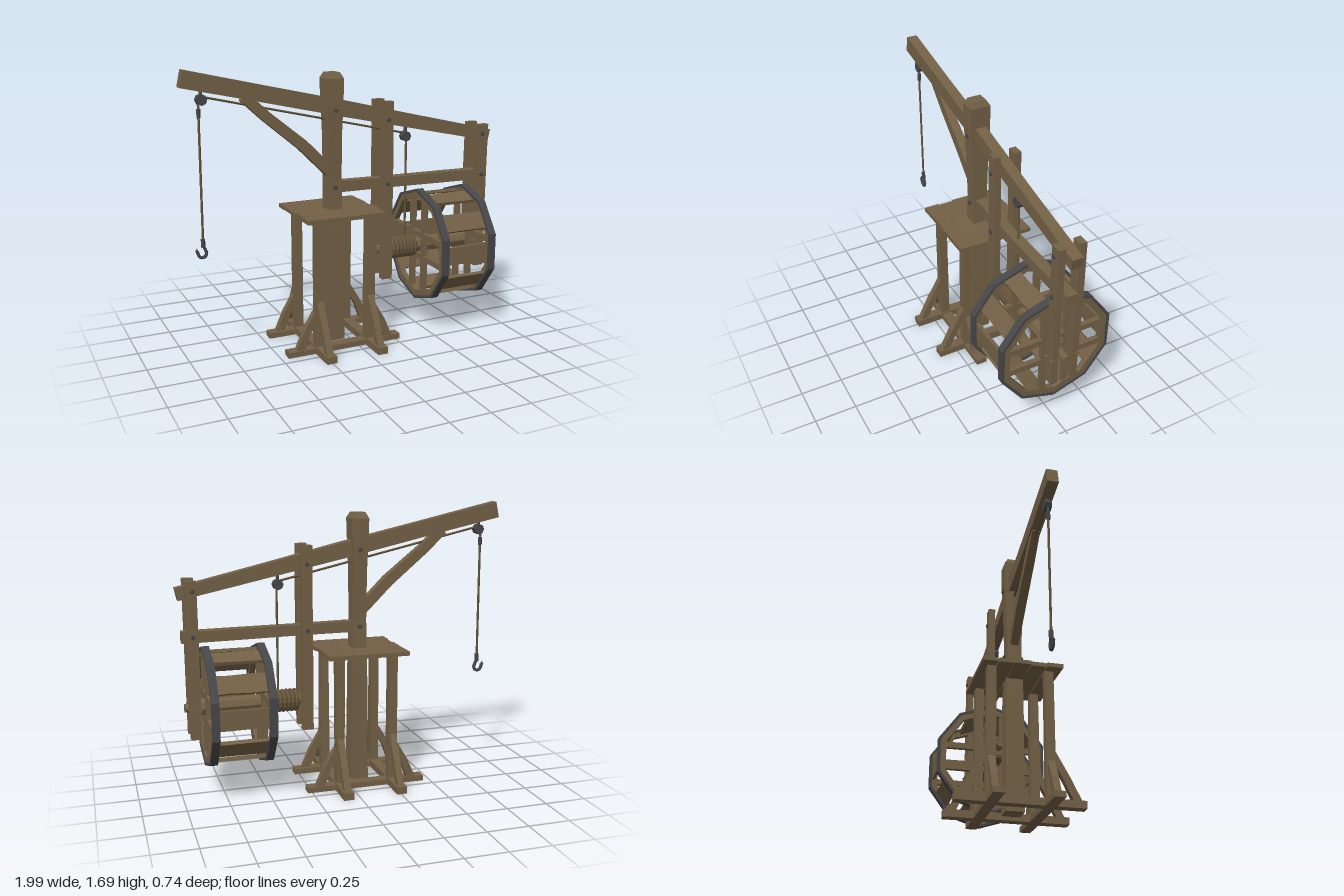
import * as THREE from 'three';

const V = (x, y, z) => new THREE.Vector3(x, y, z);
const X = V(1, 0, 0), Z = V(0, 0, 1);

export function createModel() {
  const group = new THREE.Group();
  const wood = new THREE.MeshStandardMaterial({ color: 0x736146 });
  wood.name = 'wood';
  const iron = new THREE.MeshStandardMaterial({ color: 0x47474a });
  iron.name = 'iron';
  const hemp = new THREE.MeshStandardMaterial({ color: 0x65543a });
  hemp.name = 'hemp';

  let seed = 7;
  const rand = () => ((seed = (seed * 16807) % 2147483647) / 2147483647) - 0.5;

  // Faceted mesh
  function add(name, geo, mat, parent = group) {
    const g = geo.index ? geo.toNonIndexed() : geo;
    g.computeVertexNormals();
    const m = new THREE.Mesh(g, mat);
    m.name = name;
    parent.add(m);
    return m;
  }

  // Hewn timber: sections are [centre, size along side, size across]
  function loft(name, sections, side, parent = group) {
    const pos = [], idx = [], n = sections.length;
    sections.forEach(([c, w, h], i) => {
      const d = sections[Math.min(i + 1, n - 1)][0].clone().sub(sections[Math.max(i - 1, 0)][0]).normalize();
      const u = d.clone().cross(side).normalize();
      for (const [a, b] of [[-1, -1], [1, -1], [1, 1], [-1, 1]]) {
        const p = c.clone().addScaledVector(side, a * w / 2).addScaledVector(u, b * h / 2);
        pos.push(p.x, p.y, p.z);
      }
    });
    const quad = (a, b, c, d) => idx.push(a, b, c, a, c, d);
    for (let i = 0; i < n - 1; i++)
      for (let k = 0; k < 4; k++) {
        const j = (k + 1) % 4;
        quad(i * 4 + k, i * 4 + j, i * 4 + 4 + j, i * 4 + 4 + k);
      }
    quad(3, 2, 1, 0);
    const e = (n - 1) * 4;
    quad(e, e + 1, e + 2, e + 3);
    const geo = new THREE.BufferGeometry();
    geo.setAttribute('position', new THREE.Float32BufferAttribute(pos, 3));
    geo.setIndex(idx);
    return add(name, geo, wood, parent);
  }

  // Straight timber with slightly uneven hewing
  function timber(name, a, b, w, h, side, parent = group, rough = 0.1) {
    const s = [0, 0.35, 0.7, 1].map(t => [a.clone().lerp(b, t), w * (1 + rand() * rough), h * (1 + rand() * rough)]);
    return loft(name, s, side, parent);
  }

  function rod(name, a, b, r, sides, mat, parent = group) {
    const d = b.clone().sub(a);
    const m = add(name, new THREE.CylinderGeometry(r, r, d.length(), sides), mat, parent);
    m.position.copy(a).lerp(b, 0.5);
    m.quaternion.setFromUnitVectors(V(0, 1, 0), d.normalize());
    return m;
  }

  // Central post with bevelled top
  loft('post', [[0, 0.11, 0.11], [0.7, 0.105, 0.095], [1.0, 0.085, 0.085], [1.3, 0.105, 0.085],
    [1.46, 0.12, 0.095], [1.61, 0.12, 0.105], [1.645, 0.08, 0.07]]
    .map(([y, w, h]) => [V(-0.09, y, 0), w, h]), Z);

  // Jib, lower beam and curved brace
  loft('jib', [[V(-0.985, 1.645, 0), 0.065, 0.098], [V(-0.5, 1.537, 0), 0.062, 0.094],
    [V(0, 1.425, 0), 0.068, 0.094], [V(0.5, 1.313, 0), 0.062, 0.082], [V(0.99, 1.205, 0), 0.065, 0.072]], Z);
  timber('lowerBeam', V(-0.08, 0.965, 0), V(0.97, 0.955, 0), 0.065, 0.065, Z);
  loft('jibBrace', [[V(-0.63, 1.53, 0), 0.045, 0.06], [V(-0.5, 1.41, 0), 0.05, 0.06],
    [V(-0.28, 1.23, 0), 0.055, 0.065], [V(-0.1, 1.05, 0), 0.05, 0.065]], Z);

  // Paired hangers carrying the axle
  for (const s of [-1, 1]) {
    timber('innerHanger', V(0.243, 0.36, s * 0.063), V(0.243, 1.465, s * 0.063), 0.042, 0.065, Z);
    timber('outerHanger', V(0.91, 0.36, s * 0.063), V(0.915, 1.285, s * 0.063), 0.042, 0.065, Z);
  }

  // Iron bolts
  for (const [x, y, z] of [[-0.09, 1.425, 0.067], [-0.09, 0.965, 0.06], [0.243, 1.355, 0.093], [0.243, 0.965, 0.093],
    [0.905, 1.225, 0.093], [0.91, 0.965, 0.093]])
    rod('bolt', V(x, y, -z), V(x, y, z), 0.013, 8, iron);

  // Base frame, legs and knee braces
  const legXs = [-0.255, 0.075];
  for (const s of [-1, 1]) timber('longSleeper', V(-0.457, 0.017, s * 0.165), V(0.277, 0.017, s * 0.165), 0.065, 0.034, Z, group, 0.02);
  for (const x of legXs) {
    timber('crossSleeper', V(x, 0.022, -0.37), V(x, 0.022, 0.37), 0.062, 0.044, X, group, 0.02);
    const o = x < -0.09 ? -1 : 1;
    for (const s of [-1, 1]) {
      const z = s * 0.17;
      timber('leg', V(x, 0.03, z), V(x, 0.815, z), 0.052, 0.052, Z, group, 0.16);
      loft('sideBrace', [[V(x + o * 0.125, 0.025, z), 0.04, 0.05], [V(x + o * 0.08, 0.14, z), 0.04, 0.042],
        [V(x + o * 0.015, 0.25, z), 0.04, 0.042]], Z);
      loft('endBrace', [[V(x, 0.035, z + s * 0.155), 0.04, 0.045], [V(x, 0.16, z + s * 0.095), 0.04, 0.042],
        [V(x, 0.31, z + s * 0.01), 0.04, 0.042]], X);
    }
  }

  // Platform planks
  for (let i = 0; i < 5; i++) {
    const z = (i - 2) * 0.095, j = rand() * 0.02;
    timber('platformPlank', V(-0.335 + j, 0.822, z), V(0.16 + j, 0.822, z), 0.092, 0.024, Z, group, 0.08);
  }

  // Treadwheel
  const wheel = new THREE.Group();
  wheel.name = 'treadwheel';
  wheel.position.set(0, 0.532, 0.003);
  group.add(wheel);
  function hoop(name, x, r0, r1, w, mat) {
    const p = [[r0, -w], [r1, -w], [r1, w], [r0, w], [r0, -w]].map(([r, y]) => new THREE.Vector2(r, y / 2));
    const g = new THREE.LatheGeometry(p, 10);
    g.rotateZ(-Math.PI / 2).rotateX(Math.PI / 2).translate(x, 0, 0);
    add(name, g, mat, wheel);
  }
  for (const x of [0.508, 0.835]) {
    hoop('wheelRim', x, 0.308, 0.35, 0.036, wood);
    hoop('wheelTyre', x, 0.345, 0.362, 0.046, iron);
    for (const s of [-0.072, 0.072]) {
      timber('wheelSpoke', V(x, s, -0.315), V(x, s, 0.315), 0.03, 0.036, X, wheel);
      timber('wheelSpoke', V(x, -0.315, s), V(x, 0.315, s), 0.03, 0.036, X, wheel);
    }
  }
  for (let i = 0; i < 10; i++) {
    const a = (i + 0.5) * Math.PI / 5;
    const tread = new THREE.Group();
    tread.rotation.x = a;
    wheel.add(tread);
    timber('tread', V(0.5, 0.318, 0), V(0.843, 0.318, 0), 0.112, 0.02, Z, tread);
  }

  // Axle and rope drum
  const ay = 0.532;
  rod('axle', V(0.205, ay, 0), V(0.965, ay, 0), 0.026, 8, wood);
  rod('axleHub', V(0.46, ay, 0), V(0.875, ay, 0), 0.05, 8, wood);
  rod('drum', V(0.285, ay, 0), V(0.48, ay, 0), 0.052, 10, wood);
  for (let i = 0; i < 7; i++) {
    const coil = add('ropeCoil', new THREE.TorusGeometry(0.058, 0.0125, 6, 14), hemp);
    coil.rotation.y = Math.PI / 2 + 0.06;
    coil.position.set(0.305 + i * 0.025, ay, 0);
  }
  // Bearing pegs through the hangers
  for (const s of [-1, 1]) for (const x of [0.885, 0.935]) rod('bearingPeg', V(x, ay, s * 0.05), V(x, ay, s * 0.095), 0.012, 6, wood);

  // Pulleys, rope and hook
  for (const [x, y, top] of [[-0.872, 1.525, 1.6], [0.4, 1.235, 1.31]]) {
    rod('pulley', V(x, y, -0.02), V(x, y, 0.02), 0.032, 8, iron);
    rod('pulleyHanger', V(x, y, 0), V(x, top, 0), 0.01, 6, iron);
  }
  rod('jibRope', V(-0.865, 1.54, 0), V(0.395, 1.255, 0), 0.007, 6, hemp);
  rod('drumRope', V(0.407, 1.23, 0), V(0.407, 0.58, 0), 0.007, 6, hemp);
  rod('hoistRope', V(-0.888, 1.53, 0), V(-0.892, 0.7, 0), 0.007, 6, hemp);
  rod('ropeSplice', V(-0.888, 1.475, 0), V(-0.888, 1.425, 0), 0.012, 6, iron);
  rod('hookSocket', V(-0.892, 0.735, 0), V(-0.892, 0.685, 0), 0.013, 6, iron);
  const bend = new THREE.CatmullRomCurve3([[-0.892, 0.695], [-0.88, 0.67], [-0.874, 0.645], [-0.89, 0.626],
    [-0.915, 0.632], [-0.928, 0.665]].map(([x, y]) => V(x, y, 0)));
  add('hook', new THREE.TubeGeometry(bend, 12, 0.01, 6), iron);
  const tip = add('hookTip', new THREE.ConeGeometry(0.011, 0.022, 6), iron);
  tip.position.set(-0.93, 0.674, 0);

  return group;
}
